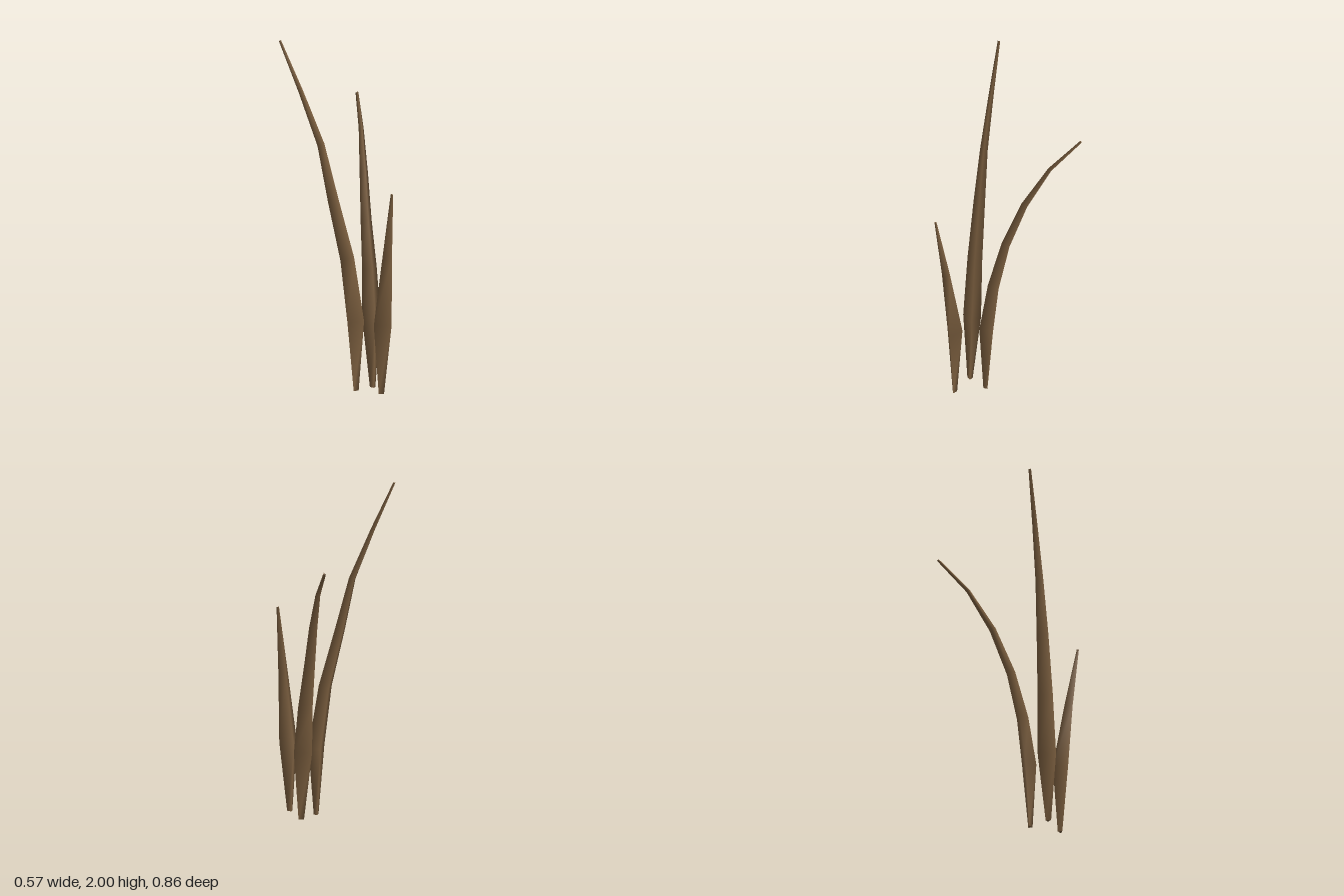
import * as THREE from 'three';

// corners: triangular section [x, z] at the widest ring; rings: [x, y, z, scale]
const BLADES = [
  {
    name: 'tallBlade',
    corners: [[0.052, 0.012], [-0.051, 0.04], [-0.001, -0.053]],
    rings: [[0.11, 0, 0.19, 0.3], [0.106, 0.4, 0.178, 1], [0.063, 0.76, 0.153, 0.83], [-0.01, 1.1, 0.112, 0.64],
      [-0.07, 1.41, 0.073, 0.43], [-0.172, 1.71, 0.01, 0.28], [-0.279, 1.998, -0.057, 0.14]],
  },
  {
    name: 'bentBlade',
    corners: [[0.004, 0.053], [-0.054, -0.035], [0.049, -0.017]],
    rings: [[0.225, 0, 0.12, 0.3], [0.226, 0.4, 0.107, 1], [0.222, 0.68, 0.068, 0.8], [0.216, 0.947, -0.002, 0.6],
      [0.224, 1.205, -0.108, 0.45], [0.238, 1.432, -0.25, 0.27], [0.251, 1.603, -0.426, 0.16]],
  },
  {
    name: 'shortBlade',
    corners: [[-0.006, -0.055], [0.054, 0.031], [-0.048, 0.023]],
    rings: [[0.231, 0, 0.305, 0.3], [0.231, 0.4, 0.312, 1], [0.25, 0.8, 0.364, 0.54], [0.268, 1.177, 0.424, 0.14]],
  },
];

// Loft a triangular section along the rings, each ring square to the path
function bladeGeometry({ corners, rings }) {
  const centres = rings.map(([x, y, z]) => new THREE.Vector3(x, y, z));
  const up = new THREE.Vector3(0, 1, 0);
  const last = rings.length - 1;
  const positions = [];
  const index = [];

  const loops = rings.map((ring, i) => {
    const tangent = centres[Math.min(i + 1, last)].clone().sub(centres[Math.max(i - 1, 0)]).normalize();
    const turn = new THREE.Quaternion().setFromUnitVectors(up, i < 2 ? up : tangent);
    return corners.map(([x, z]) =>
      new THREE.Vector3(x, 0, z).multiplyScalar(ring[3]).applyQuaternion(turn).add(centres[i]));
  });
  loops.flat().forEach((p) => positions.push(p.x, p.y, p.z));

  // sides
  for (let i = 0; i < last; i++) {
    for (let j = 0; j < 3; j++) {
      const k = (j + 1) % 3;
      const a = i * 3 + j, b = a + 3, c = i * 3 + k, d = c + 3;
      index.push(a, b, c, c, b, d);
    }
  }

  // end caps with their own vertices, so their edges stay sharp
  [loops[0], [...loops[last]].reverse()].forEach((loop) => {
    const n = positions.length / 3;
    loop.forEach((p) => positions.push(p.x, p.y, p.z));
    index.push(n, n + 1, n + 2);
  });

  const geometry = new THREE.BufferGeometry();
  geometry.setAttribute('position', new THREE.Float32BufferAttribute(positions, 3));
  geometry.setIndex(index);
  geometry.computeVertexNormals();
  return geometry;
}

export function createModel() {
  const group = new THREE.Group();
  group.name = 'grassBlades';
  const material = new THREE.MeshStandardMaterial({ color: 0x7d6040 });
  for (const blade of BLADES) {
    const mesh = new THREE.Mesh(bladeGeometry(blade), material);
    mesh.name = blade.name;
    group.add(mesh);
  }
  return group;
}
